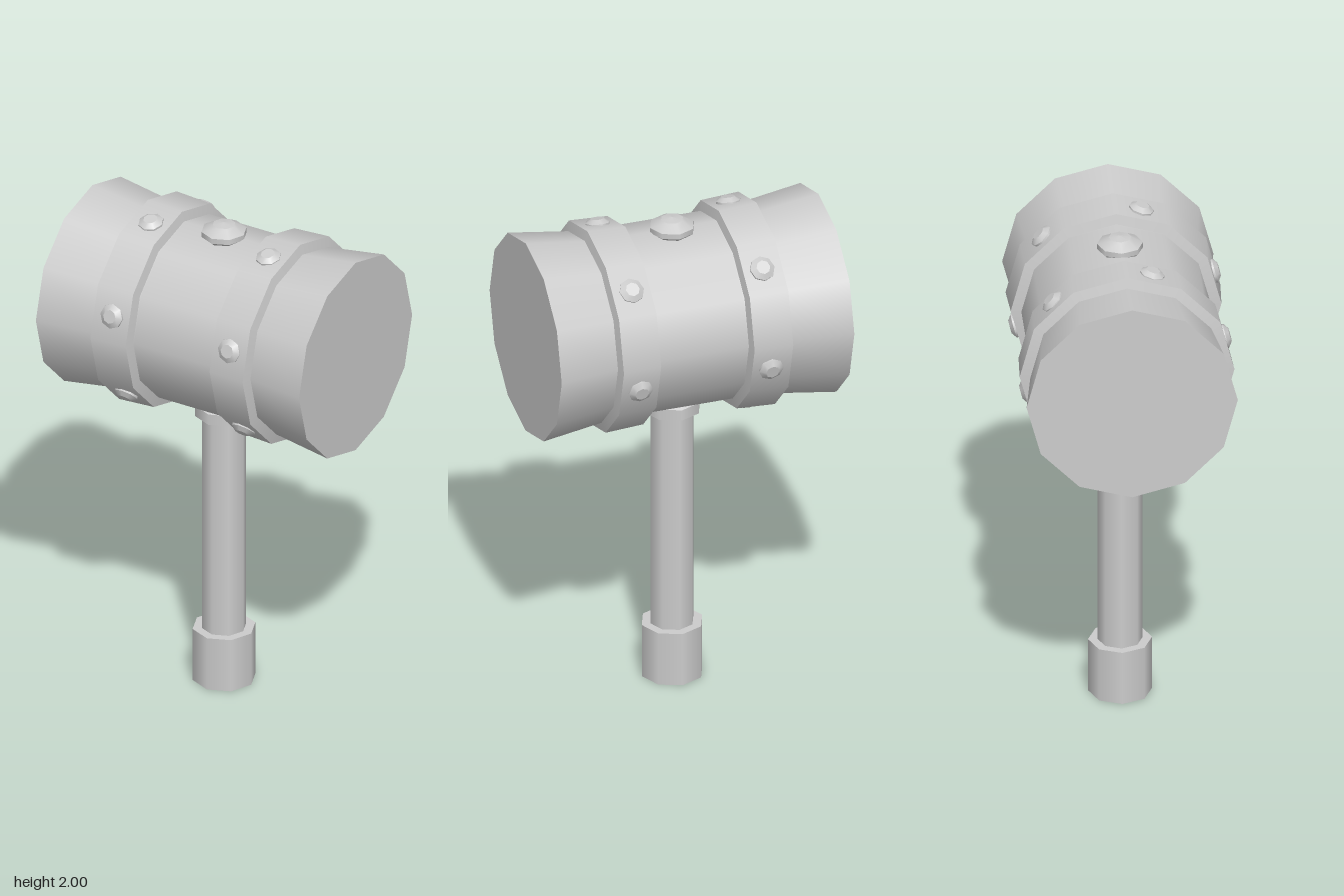
import * as THREE from 'three';
import { mergeGeometries } from 'three/addons/utils/BufferGeometryUtils.js';

const material = new THREE.MeshStandardMaterial({ color: 0xcccccc });

// Stack of frustums through [radius, height] points: smooth around, crisp between rings
function turned(points, sides) {
  const parts = [];
  for (let i = 0; i < points.length - 1; i++) {
    const [r0, y0] = points[i];
    const [r1, y1] = points[i + 1];
    const g = new THREE.CylinderGeometry(r1, r0, y1 - y0, sides, 1, true);
    g.translate(0, (y0 + y1) / 2, 0);
    parts.push(g);
  }
  // flat caps at both ends
  const [rb, yb] = points[0];
  const [rt, yt] = points[points.length - 1];
  if (rb > 0) parts.push(new THREE.CircleGeometry(rb, sides).rotateX(Math.PI / 2).translate(0, yb, 0));
  if (rt > 0) parts.push(new THREE.CircleGeometry(rt, sides).rotateX(-Math.PI / 2).translate(0, yt, 0));
  return mergeGeometries(parts);
}

function add(parent, name, geometry) {
  const mesh = new THREE.Mesh(geometry, material);
  mesh.name = name;
  parent.add(mesh);
  return mesh;
}

export function createModel() {
  const model = new THREE.Group();
  model.name = 'warHammer';

  // Handle
  add(model, 'pommel', turned([[0.125, 0], [0.125, 0.225]], 8));
  add(model, 'handle', turned([[0.088, 0.2], [0.088, 1.25]], 8));
  add(model, 'collar', turned([[0.115, 1.16], [0.115, 1.205], [0.075, 1.23]], 8));

  // Head, turned about the x axis
  const head = new THREE.Group();
  head.name = 'head';
  head.position.y = 1.58;
  model.add(head);
  const barrel = [[0.412, -0.605], [0.378, -0.36], [0.37, -0.18], [0.37, 0.18], [0.378, 0.36], [0.412, 0.605]];
  add(head, 'barrel', turned(barrel, 12).rotateZ(-Math.PI / 2));

  const bandProfile = [[0.365, 0.183], [0.411, 0.193], [0.419, 0.35], [0.37, 0.362]];
  const rivetShape = turned([[0.05, -0.012], [0.05, 0.006], [0.028, 0.021]], 8);
  for (const side of [-1, 1]) {
    // Bands
    const band = add(head, side > 0 ? 'leftBand' : 'rightBand', turned(bandProfile, 12).rotateZ(-Math.PI / 2));
    if (side < 0) band.rotation.y = Math.PI;

    // Rivets on every other flat of the band
    for (let i = 0; i < 6; i++) {
      const angle = Math.PI / 12 + i * Math.PI / 3;
      const rivet = add(head, 'rivet', rivetShape);
      rivet.position.set(side * 0.27, 0.401 * Math.cos(angle), 0.401 * Math.sin(angle));
      rivet.rotation.x = angle;
    }
  }

  // Domed stud on top
  add(model, 'topStud', turned([[0.07, 1.928], [0.09, 1.945], [0.09, 1.967], [0.045, 1.993], [0, 2]], 8));

  return model;
}
